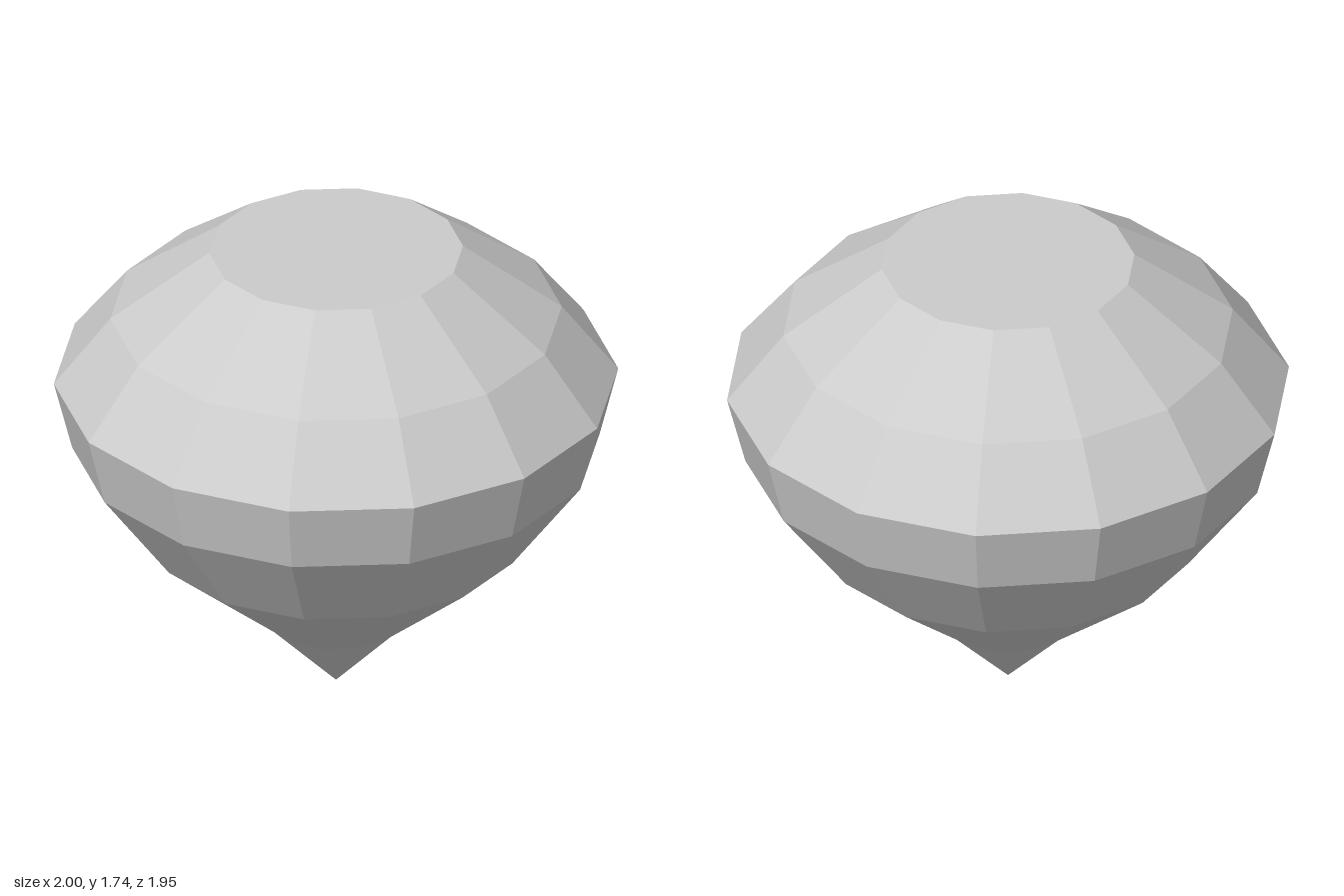
import * as THREE from 'three';

const SIDES = 14;

// Faceted ring stack turned from a [radius, height] profile, listed bottom to top
function facetedTurning(name, profile, material) {
  const points = profile.map(([r, y]) => new THREE.Vector2(r, y));
  const mesh = new THREE.Mesh(new THREE.LatheGeometry(points, SIDES, Math.PI / 2), material);
  mesh.name = name;
  return mesh;
}

export function createModel() {
  const group = new THREE.Group();
  group.name = 'cutGem';
  const material = new THREE.MeshStandardMaterial({ color: 0xcccccc, flatShading: true });

  // Lower body, from the point up to the widest ring
  group.add(facetedTurning('pavilion', [
    [0, 0], [0.25, 0.26], [0.675, 0.615], [0.935, 0.97], [1, 1.23],
  ], material));

  // Upper slopes
  group.add(facetedTurning('crown', [
    [1, 1.23], [0.8, 1.487], [0.45, 1.743],
  ], material));

  // Flat top
  const table = new THREE.Mesh(new THREE.CircleGeometry(0.45, SIDES), material);
  table.name = 'table';
  table.rotation.x = -Math.PI / 2;
  table.position.y = 1.743;
  group.add(table);

  return group;
}
